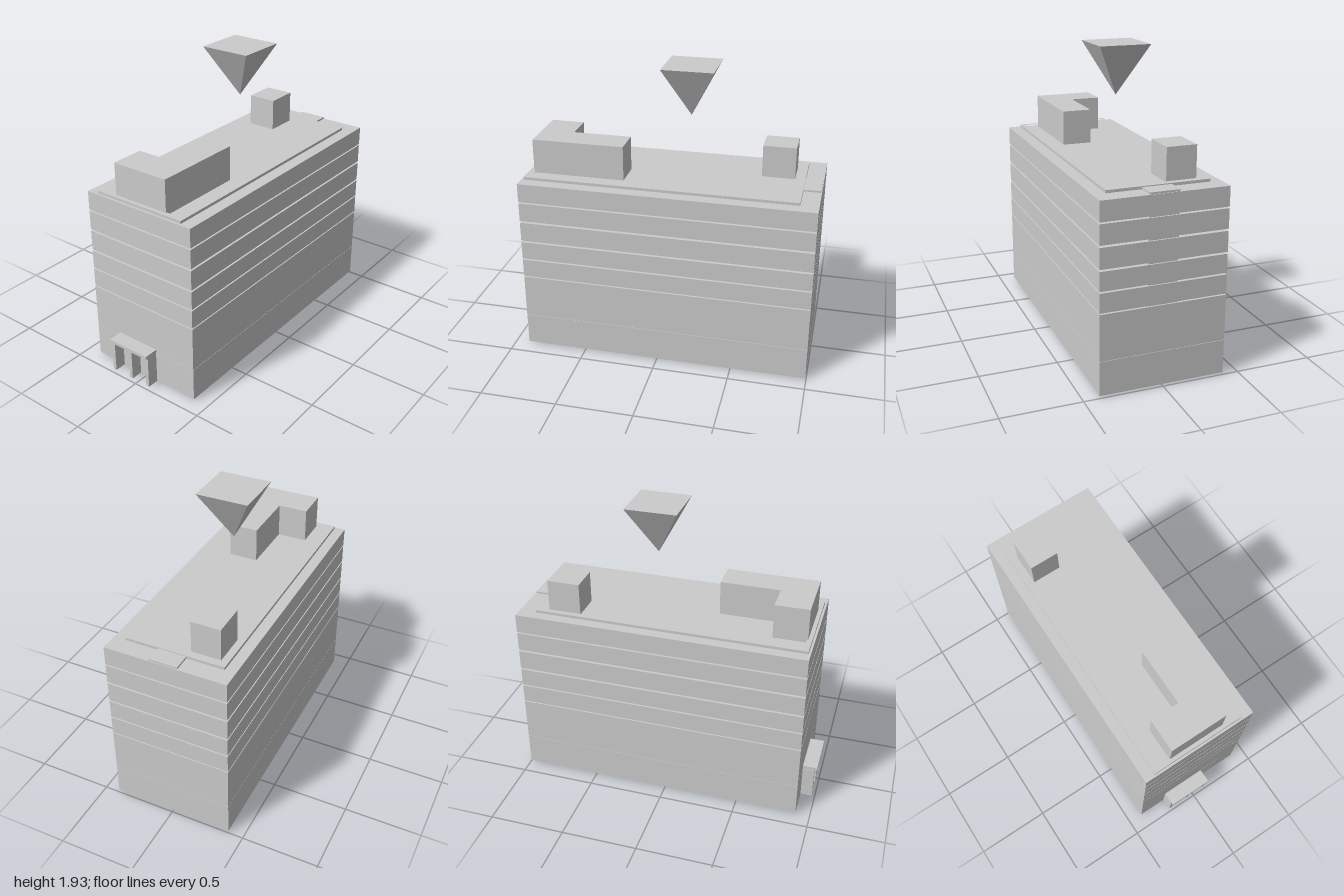
import * as THREE from 'three';

export function createModel() {
  const model = new THREE.Group();
  const material = new THREE.MeshStandardMaterial({ color: 0xcccccc, flatShading: true });

  const add = (name, geometry) => {
    const mesh = new THREE.Mesh(geometry, material);
    mesh.name = name;
    model.add(mesh);
    return mesh;
  };
  // Box given by its limits on each axis
  const box = (name, x0, x1, y0, y1, z0, z1) =>
    add(name, new THREE.BoxGeometry(x1 - x0, y1 - y0, z1 - z0)
      .translate((x0 + x1) / 2, (y0 + y1) / 2, (z0 + z1) / 2));
  // Plan outline (x, z) raised from y0 to y1, with an optional hole
  const prism = (name, points, y0, y1, hole) => {
    const toShape = (list) => list.map(([x, z]) => new THREE.Vector2(x, -z));
    const shape = new THREE.Shape(toShape(points));
    if (hole) shape.holes.push(new THREE.Path(toShape(hole)));
    return add(name, new THREE.ExtrudeGeometry(shape, { depth: y1 - y0, bevelEnabled: false })
      .rotateX(-Math.PI / 2).translate(0, y0, 0));
  };
  const rect = (x0, x1, z0, z1) => [[x0, z0], [x1, z0], [x1, z1], [x0, z1]];

  // Storeys: tall base, then five bands split by shadow gaps
  const storeys = [
    [0.012, 0.23], [0.232, 0.525], [0.533, 0.655], [0.665, 0.785],
    [0.797, 0.927], [0.94, 1.065], [1.075, 1.2],
  ];
  storeys.forEach(([y0, y1]) => box('storey', -0.905, 0.995, y0, y1, -0.4, 0.4));

  // Recessed core seen in the gaps
  box('core', -0.89, 0.88, 0.1, 1.15, -0.325, 0.32);
  box('sideCore', 0.87, 0.985, 0.1, 1.15, -0.085, 0.1);

  // Column feet under the base
  for (let i = 0; i < 11; i++) {
    const x = -0.83 + i * 0.168;
    for (const z of [-0.32, 0.315]) box('columnFoot', x - 0.008, x + 0.008, 0, 0.02, z - 0.012, z + 0.012);
  }

  // Roof parapet and the pad beside it
  prism('roofParapet', rect(-0.89, 0.88, -0.33, 0.32), 1.195, 1.218, rect(-0.855, 0.84, -0.295, 0.285));
  box('roofPad', 0.88, 0.99, 1.195, 1.212, -0.085, 0.1);

  // Rooftop plant rooms
  prism('cornerPlantRoom', [
    [-0.865, -0.2], [-0.645, -0.2], [-0.645, -0.003],
    [-0.26, -0.003], [-0.26, 0.19], [-0.865, 0.19],
  ], 1.195, 1.428);
  box('smallPlantRoom', 0.595, 0.81, 1.195, 1.412, -0.273, -0.08);

  // Entrance canopy on three fins
  box('canopy', -1, -0.905, 0.23, 0.252, -0.203, 0.103);
  for (const z of [-0.193, -0.05, 0.088]) box('canopyFin', -0.982, -0.905, 0.012, 0.23, z - 0.012, z + 0.012);

  // Floating inverted pyramid marker
  add('marker', new THREE.ConeGeometry(0.167 * Math.SQRT2, 0.33, 4)
    .rotateY(Math.PI / 4).rotateX(Math.PI).translate(0.137, 1.765, -0.03));

  return model;
}
